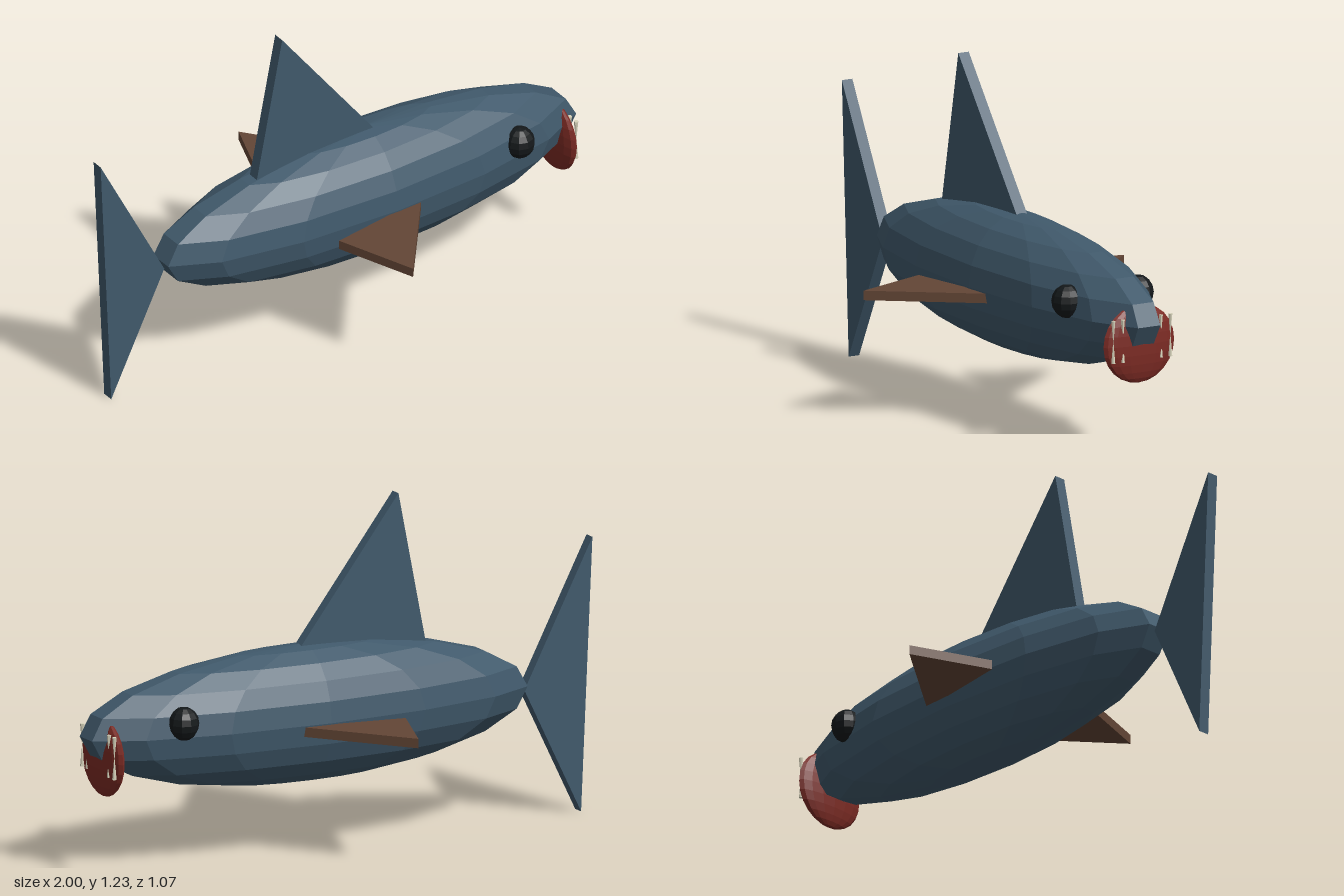
import * as THREE from 'three';

const mat = (color) => new THREE.MeshStandardMaterial({ color, flatShading: true });

export function createModel() {
  const group = new THREE.Group();
  const blue = mat(0x40596b), brown = mat(0x634636), black = mat(0x14181a);
  const red = mat(0x7d2b24), ivory = mat(0xd8d4bc);

  function add(name, geometry, material, x = 0, y = 0, z = 0) {
    const mesh = new THREE.Mesh(geometry, material);
    mesh.name = name;
    mesh.position.set(x, y, z);
    group.add(mesh);
    return mesh;
  }

  // faceted ellipsoid, with facets (not vertices) facing along x
  const ellipsoid = (rx, ry, rz, w, h) =>
    new THREE.SphereGeometry(1, w, h).rotateY(Math.PI / 2).scale(rx, ry, rz);

  // flat triangular plate centred on its own thickness
  const plate = (points, depth) =>
    new THREE.ExtrudeGeometry(new THREE.Shape(points.map(([x, y]) => new THREE.Vector2(x, y))),
      { depth, bevelEnabled: false }).translate(0, 0, -depth / 2);

  // body
  add('body', ellipsoid(0.887, 0.245, 0.205, 14, 10), blue, 0.135, 0.48, 0);

  // upright fins
  add('dorsalFin', plate([[-0.34, 0.67], [0.16, 0.715], [-0.23, 1.225]], 0.043), blue);
  add('tailFin', plate([[-0.955, 0], [-0.73, 0.46], [-1, 0.98]], 0.043), blue);

  // mouth disc set into the underside of the snout
  add('mouth', ellipsoid(0.031, 0.14, 0.145, 16, 12), red, 0.93, 0.408, 0);

  for (const side of [1, -1]) {
    const label = side > 0 ? 'Front' : 'Back';

    // side fin lying flat
    const outline = [[-0.14, 0.24], [0.25, 0.18], [-0.03, 0.535]].map(([x, z]) => [x, -z * side]);
    add('sideFin' + label, plate(outline, 0.034).rotateX(-Math.PI / 2), brown, 0, 0.458, 0);

    // eye
    add('eye' + label, ellipsoid(0.055, 0.06, 0.055, 10, 8), black, 0.69, 0.53, 0.146 * side);

    // upper teeth point down, lower teeth point up
    for (const z of [0.078, 0.117]) {
      const tooth = new THREE.ConeGeometry(0.008, 0.085, 6);
      add('upperTooth' + label, tooth, ivory, 0.95, 0.462, z * side).rotation.x = Math.PI;
      add('lowerTooth' + label, tooth, ivory, 0.95, 0.395, z * side);
    }
  }
  return group;
}
